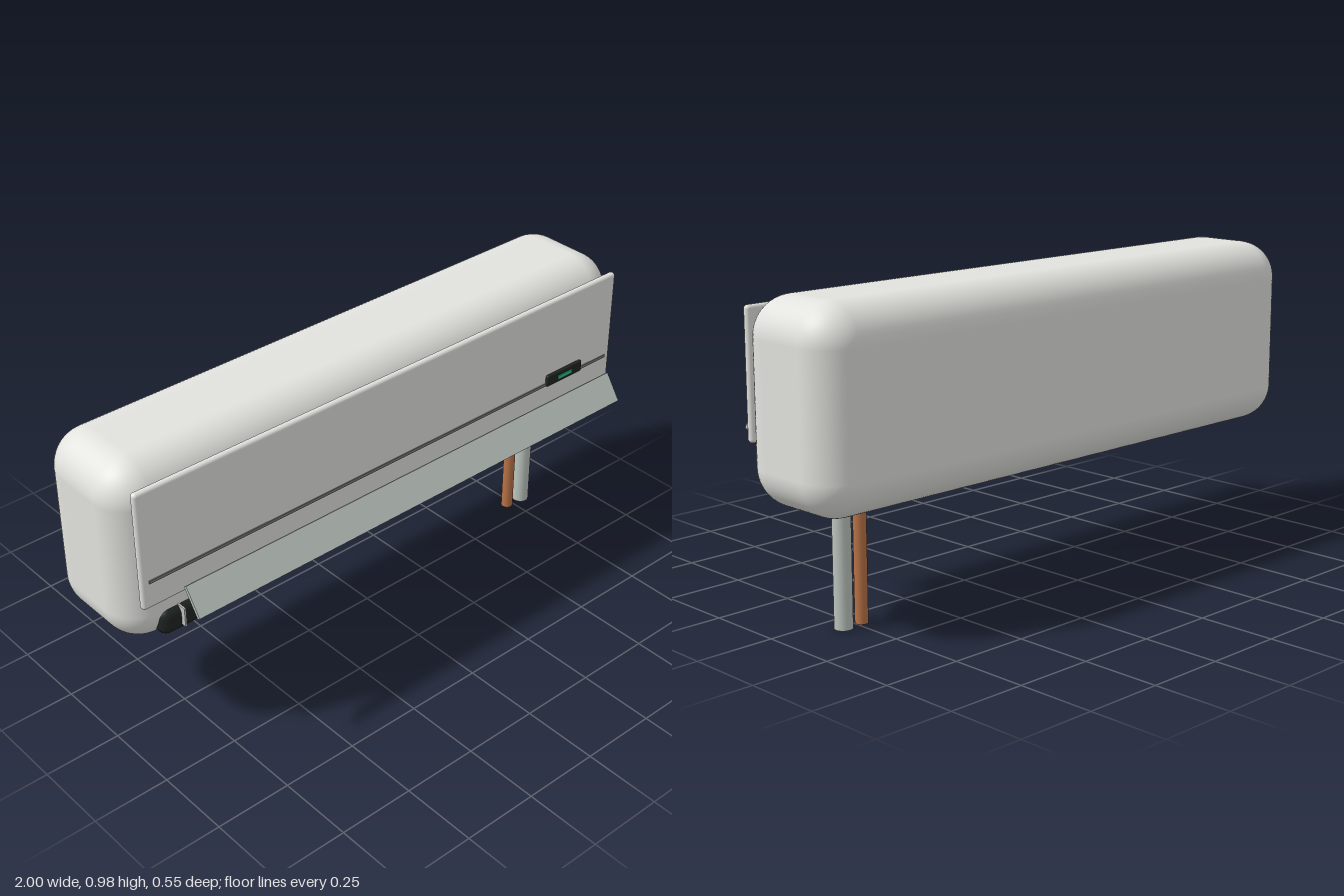
import * as THREE from 'three';
import { RoundedBoxGeometry } from 'three/addons/geometries/RoundedBoxGeometry.js';

const material = (color) => new THREE.MeshStandardMaterial({ color });

export function createModel() {
  const model = new THREE.Group();
  model.name = 'airConditioner';

  const shell = material(0xe2e2de);
  const dark = material(0x1f2422);
  const trim = material(0x777a78);
  const plastic = material(0xbcc4be);
  const copper = material(0xb87347);
  const glow = material(0x2fbf8f);

  const add = (name, geometry, mat, x, y, z, parent = model) => {
    const mesh = new THREE.Mesh(geometry, mat);
    mesh.name = name;
    mesh.position.set(x, y, z);
    parent.add(mesh);
    return mesh;
  };
  const rounded = (w, h, d, r, segments = 4) => new RoundedBoxGeometry(w, h, d, segments, r);

  // Housing and front cover
  add('housing', rounded(2, 0.61, 0.395, 0.12, 8), shell, 0, 0.67, -0.0775);
  add('frontPanel', rounded(1.915, 0.397, 0.024, 0.0115), shell, 0, 0.737, 0.13);
  add('panelSeam', new THREE.BoxGeometry(1.865, 0.01, 0.006), trim, 0, 0.632, 0.142);

  // Display with a lit indicator
  add('display', rounded(0.16, 0.04, 0.014, 0.005), dark, 0.73, 0.646, 0.145);
  add('indicator', new THREE.BoxGeometry(0.064, 0.013, 0.006), glow, 0.73, 0.645, 0.152);

  // Air outlet and its row of upright vanes
  add('airOutlet', rounded(1.79, 0.092, 0.1, 0.032), dark, 0, 0.444, 0.087);
  const vanes = new THREE.Group();
  vanes.name = 'vanes';
  model.add(vanes);
  const vaneGeometry = new THREE.BoxGeometry(0.006, 0.065, 0.05);
  for (let i = 0; i < 14; i++) {
    add('vane', vaneGeometry, plastic, -0.826 + i * 0.127, 0.456, 0.128, vanes);
  }

  // Tilted louver in front of the outlet
  const louver = add('louver', new THREE.BoxGeometry(1.727, 0.1, 0.012), plastic, 0, 0.584, 0.244);
  louver.rotation.x = -0.6;

  // Pipes hanging from the underside
  const pipe = (name, r, x, mat) =>
    add(name, new THREE.CylinderGeometry(r, r, 0.42, 24), mat, x, 0.21, -0.075);
  pipe('copperPipe', 0.02, 0.73, copper);
  pipe('drainPipe', 0.028, 0.797, plastic);

  return model;
}
